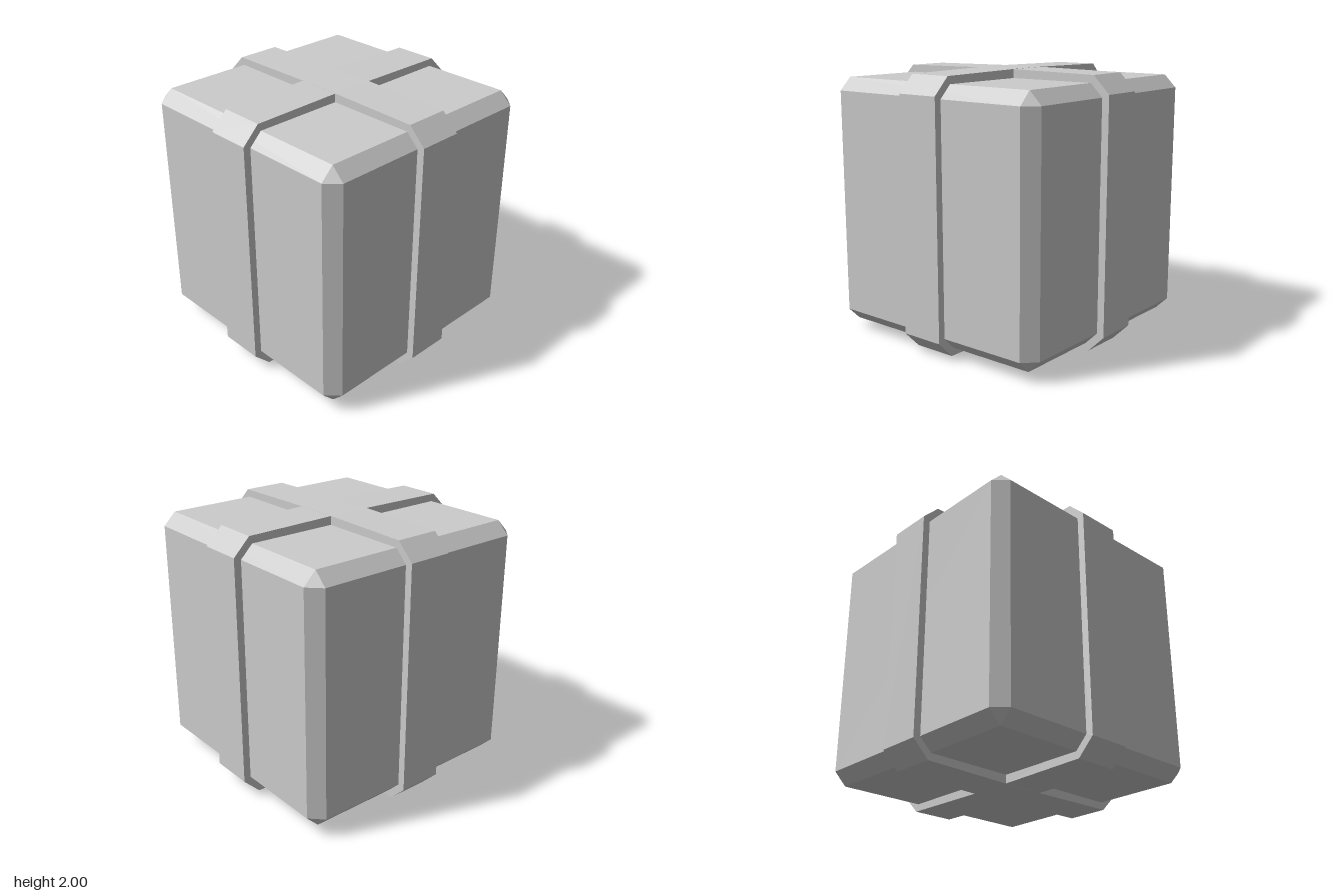
import * as THREE from 'three';
import { ConvexGeometry } from 'three/addons/geometries/ConvexGeometry.js';

const WIDTH = 0.333; // ribbon width

// Cube with flat bevelled edges and triangular corners
function bevelledCube(half, inner) {
  const points = [];
  for (const x of [-1, 1]) for (const y of [-1, 1]) for (const z of [-1, 1]) {
    points.push(
      new THREE.Vector3(x * half, y * inner, z * inner),
      new THREE.Vector3(x * inner, y * half, z * inner),
      new THREE.Vector3(x * inner, y * inner, z * half)
    );
  }
  return new ConvexGeometry(points);
}

// Closed ribbon loop with cut corners, rising slightly to the crossing
function ribbonLoop(peak) {
  const top = [[0.99, 0.863], [0.863, 0.99], [WIDTH / 2, peak], [-WIDTH / 2, peak], [-0.863, 0.99], [-0.99, 0.863]];
  const bottom = top.map(([x, y]) => [x, -y]).reverse();
  const shape = new THREE.Shape([...top, ...bottom].map(([x, y]) => new THREE.Vector2(x, y)));
  const h = 0.8;
  shape.holes.push(new THREE.Path([[-h, -h], [-h, h], [h, h], [h, -h]].map(([x, y]) => new THREE.Vector2(x, y))));
  return new THREE.ExtrudeGeometry(shape, { depth: WIDTH, bevelEnabled: false }).translate(0, 0, -WIDTH / 2);
}

export function createModel() {
  const group = new THREE.Group();
  group.name = 'giftBox';
  const material = new THREE.MeshStandardMaterial({ color: 0xcccccc, flatShading: true });

  const add = (name, geometry, turn = 0) => {
    const mesh = new THREE.Mesh(geometry, material);
    mesh.name = name;
    mesh.position.y = 1;
    mesh.rotation.y = turn;
    group.add(mesh);
  };

  add('box', bevelledCube(0.935, 0.841));
  // Two crossing ribbons; the second sits a hair lower at the crossing
  add('ribbonAcross', ribbonLoop(1));
  add('ribbonFrontToBack', ribbonLoop(0.999), Math.PI / 2);
  return group;
}
